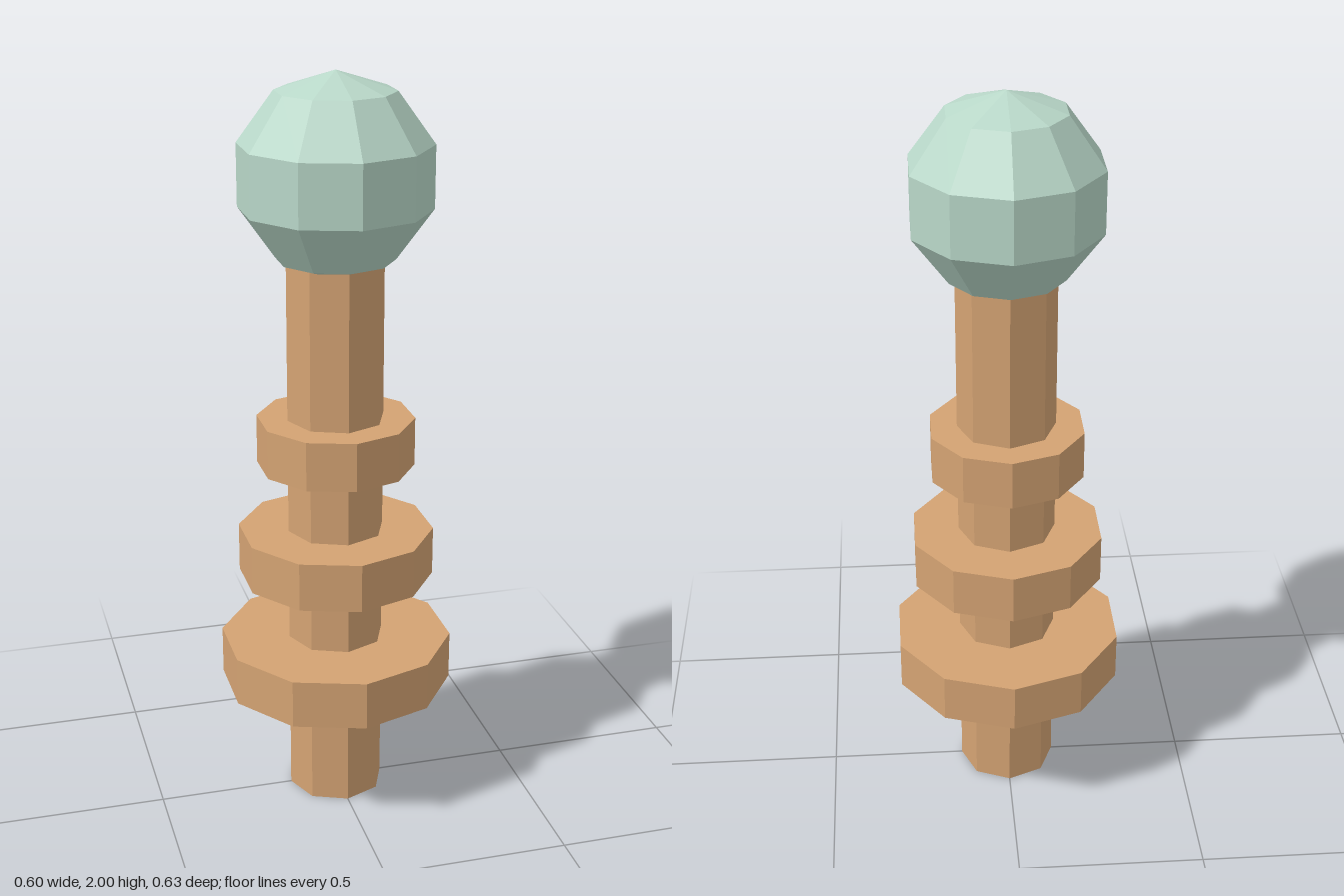
import * as THREE from 'three';

export function createModel() {
  const group = new THREE.Group();
  const wood = new THREE.MeshStandardMaterial({ color: 0xd4a373, flatShading: true });
  wood.name = 'warm wood';
  const mint = new THREE.MeshStandardMaterial({ color: 0xb9d8c9, flatShading: true });
  mint.name = 'pale mint';

  const add = (name, geometry, material, y) => {
    const mesh = new THREE.Mesh(geometry, material);
    mesh.name = name;
    mesh.position.y = y;
    group.add(mesh);
    return mesh;
  };

  // Eight-sided shaft, reaching just inside the ball
  add('shaft', new THREE.CylinderGeometry(0.131, 0.131, 1.54, 8), wood, 0.77);

  // Three ten-sided collars, smaller towards the top
  const collars = [
    ['lowerCollar', 0.315, 0.396],
    ['middleCollar', 0.263, 0.713],
    ['upperCollar', 0.21, 1.029],
  ];
  for (const [name, radius, y] of collars) {
    add(name, new THREE.CylinderGeometry(radius, radius, 0.132, 10), wood, y);
  }

  // Faceted ball, turned so its corners line up with the collars
  const ball = new THREE.SphereGeometry(0.263, 10, 5).rotateY(Math.PI / 2);
  add('ball', ball, mint, 1.737);

  return group;
}
